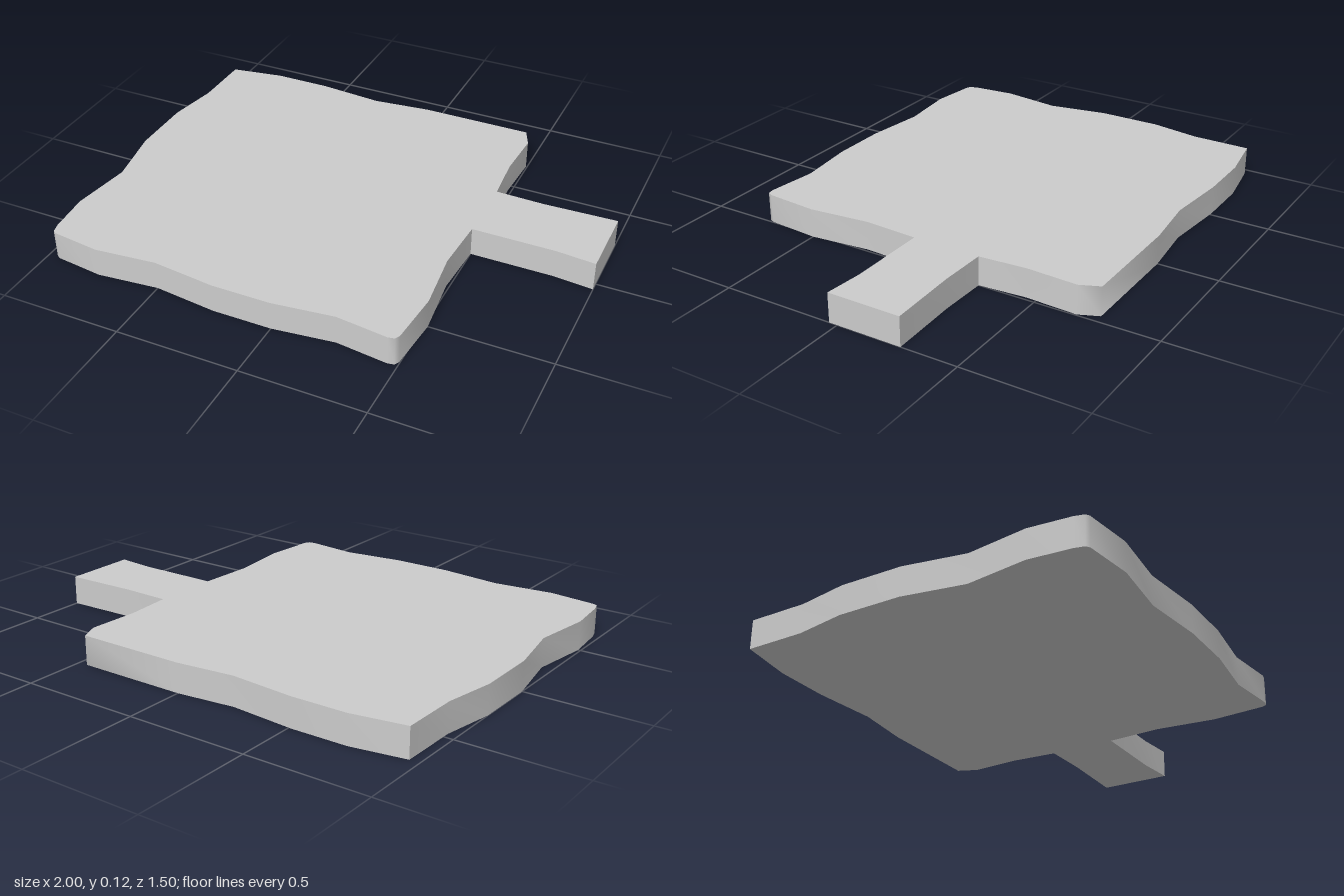
import * as THREE from 'three';
import { toCreasedNormals } from 'three/addons/utils/BufferGeometryUtils.js';

const THICKNESS = 0.12;

// Outline seen from above as [x, z], one run per side
const backEdge = [[-0.96, -0.715], [-0.74, -0.75], [-0.51, -0.75], [-0.24, -0.725], [0, -0.75], [0.46, -0.75]];
const rightEdgeBack = [[0.495, -0.67], [0.485, -0.46]];
const handle = [[0.5, -0.265], [0.7, -0.26], [1, -0.27], [1, 0.035], [0.84, 0.02], [0.5, 0.02]];
const rightEdgeFront = [[0.488, 0.25], [0.515, 0.5], [0.497, 0.72], [0.487, 0.74], [0.46, 0.745]];
const frontEdge = [[0.25, 0.72], [0, 0.75], [-0.24, 0.75], [-0.5, 0.72], [-0.75, 0.745], [-0.95, 0.72]];
const leftEdge = [[-0.965, 0.71], [-0.975, 0.67], [-0.99, 0.5], [-0.955, 0.25], [-1, 0], [-1, -0.26], [-0.963, -0.47]];

export function createModel() {
  const group = new THREE.Group();
  group.name = 'paddleBoard';

  // Flat slab with wavy edges and a straight handle, in one piece
  const outline = [backEdge, rightEdgeBack, handle, rightEdgeFront, frontEdge, leftEdge].flat();
  const shape = new THREE.Shape(outline.map(([x, z]) => new THREE.Vector2(x, -z)));
  const slab = new THREE.ExtrudeGeometry(shape, { depth: THICKNESS, bevelEnabled: false });
  slab.rotateX(-Math.PI / 2);

  // Soft shading along the waves, sharp rims and handle corners
  const board = new THREE.Mesh(
    toCreasedNormals(slab, 1.2),
    new THREE.MeshStandardMaterial({ color: 0xcccccc })
  );
  board.name = 'boardWithHandle';
  group.add(board);
  return group;
}
